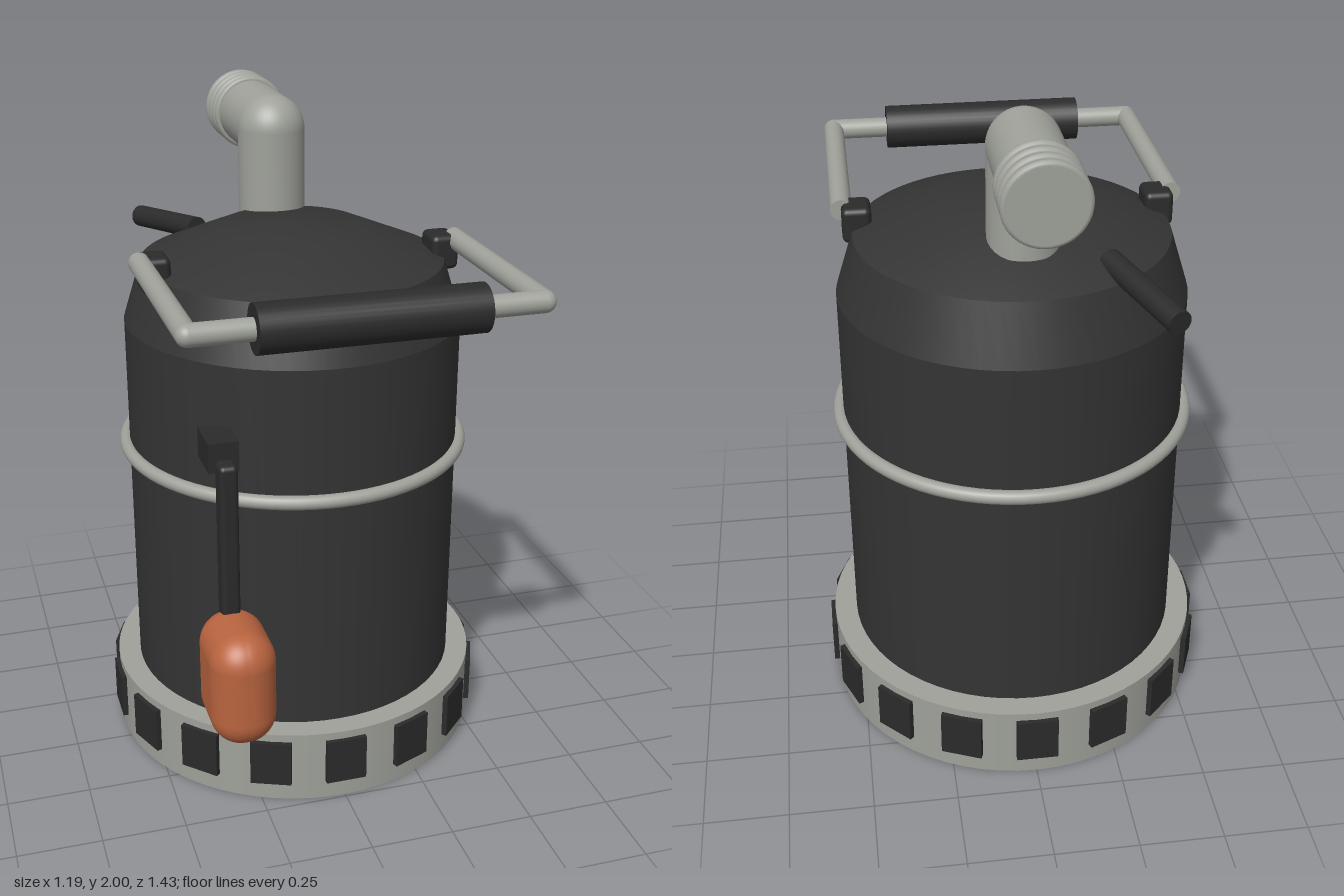
import * as THREE from 'three';
import { RoundedBoxGeometry } from 'three/addons/geometries/RoundedBoxGeometry.js';

const material = (name, color) => {
  const m = new THREE.MeshStandardMaterial({ color });
  m.name = name;
  return m;
};

export function createModel() {
  const model = new THREE.Group();
  model.name = 'submersiblePump';
  const casing = material('charcoal casing', 0x343434);
  const rubber = material('black rubber', 0x2b2b2b);
  const metal = material('grey metal', 0x9fa19a);
  const orange = material('orange float', 0xb9643f);
  const axisZ = -0.09; // the pump body sits slightly behind the origin

  const add = (name, geometry, mat, x = 0, y = 0, z = 0, parent = model) => {
    const mesh = new THREE.Mesh(geometry, mat);
    mesh.name = name;
    mesh.position.set(x, y, z);
    parent.add(mesh);
    return mesh;
  };
  // Profile pieces are separate surfaces so that edges between them stay crisp
  const lathe = (name, points, mat) =>
    add(name, new THREE.LatheGeometry(points.map(p => new THREE.Vector2(...p)), 64), mat, 0, 0, axisZ);
  // Cylinder between two points
  const rod = (name, a, b, r, mat, parent = model) => {
    const from = new THREE.Vector3(...a), to = new THREE.Vector3(...b);
    const dir = to.clone().sub(from);
    const mesh = add(name, new THREE.CylinderGeometry(r, r, dir.length(), 32), mat, 0, 0, 0, parent);
    mesh.position.copy(from).add(to).multiplyScalar(0.5);
    mesh.quaternion.setFromUnitVectors(new THREE.Vector3(0, 1, 0), dir.normalize());
    return mesh;
  };

  // Body
  lathe('bodyFloor', [[0, 0.21], [0.51, 0.21]], casing);
  lathe('bodyWall', [[0.51, 0.21], [0.51, 1.37]], casing);
  lathe('bodyShoulder', [[0.51, 1.37], [0.455, 1.545]], casing);
  lathe('bodyLid', [[0.455, 1.545], [0.215, 1.645], [0, 1.66]], casing);
  const band = add('bodyBand', new THREE.TorusGeometry(0.52, 0.021, 16, 80), metal, 0, 0.975, axisZ);
  band.rotation.x = Math.PI / 2;

  // Hollow base ring
  lathe('baseOuterWall', [[0.58, 0], [0.58, 0.23]], metal);
  lathe('baseTop', [[0.58, 0.23], [0.45, 0.23]], metal);
  lathe('baseInnerWall', [[0.45, 0.23], [0.45, 0]], metal);
  lathe('baseUnderside', [[0.45, 0], [0.58, 0]], metal);

  // Inlet pads around the base
  const inlets = new THREE.Group();
  inlets.name = 'inletPads';
  inlets.position.z = axisZ;
  model.add(inlets);
  const padGeometry = new THREE.BoxGeometry(0.125, 0.145, 0.04);
  for (let i = 0; i < 16; i++) {
    const a = (i / 16) * Math.PI * 2;
    const pad = add('inletPad', padGeometry, rubber, Math.sin(a) * 0.573, 0.133, Math.cos(a) * 0.573, inlets);
    pad.rotation.y = a;
  }

  // Outlet elbow with ribbed hose end
  const outlet = new THREE.Group();
  outlet.name = 'outletPipe';
  model.add(outlet);
  rod('outletRiser', [0, 1.6, -0.32], [0, 1.885, -0.32], 0.102, metal, outlet);
  add('outletElbow', new THREE.SphereGeometry(0.102, 40, 28), metal, 0, 1.885, -0.32, outlet);
  rod('outletSpout', [0, 1.885, -0.32], [0, 1.885, -0.717], 0.102, metal, outlet);
  for (let i = 0; i < 4; i++)
    add('outletRib', new THREE.TorusGeometry(0.103, 0.012, 12, 48), metal, 0, 1.885, -0.578 - i * 0.042, outlet);

  // Carrying handle
  const handle = new THREE.Group();
  handle.name = 'handle';
  model.add(handle);
  const hy = 1.59, hz = 0.647;
  rod('handleBar', [-0.48, hy, hz], [0.48, hy, hz], 0.031, metal, handle);
  rod('handleGrip', [-0.31, hy, hz], [0.31, hy, hz], 0.067, rubber, handle);
  for (const s of [-1, 1]) {
    rod('handleArm', [s * 0.48, hy, 0], [s * 0.48, hy, hz], 0.031, metal, handle);
    add('handleCorner', new THREE.SphereGeometry(0.031, 24, 16), metal, s * 0.48, hy, hz, handle);
    add('handleBracket', new RoundedBoxGeometry(0.085, 0.105, 0.107, 4, 0.018), rubber, s * 0.438, 1.558, 0, handle);
  }

  // Cable stub at the back of the lid
  rod('cableStub', [-0.225, 1.572, -0.385], [-0.345, 1.54, -0.703], 0.034, rubber);

  // Float switch
  const float = new THREE.Group();
  float.name = 'floatSwitch';
  float.position.x = -0.342;
  model.add(float);
  add('floatMount', new THREE.BoxGeometry(0.088, 0.088, 0.13), rubber, 0, 1.145, 0.355, float);
  add('floatArm', new RoundedBoxGeometry(0.054, 0.52, 0.065, 4, 0.015), rubber, 0, 0.883, 0.452, float);
  add('floatBody', new RoundedBoxGeometry(0.19, 0.345, 0.285, 8, 0.09), orange, 0, 0.517, 0.537, float);

  return model;
}
